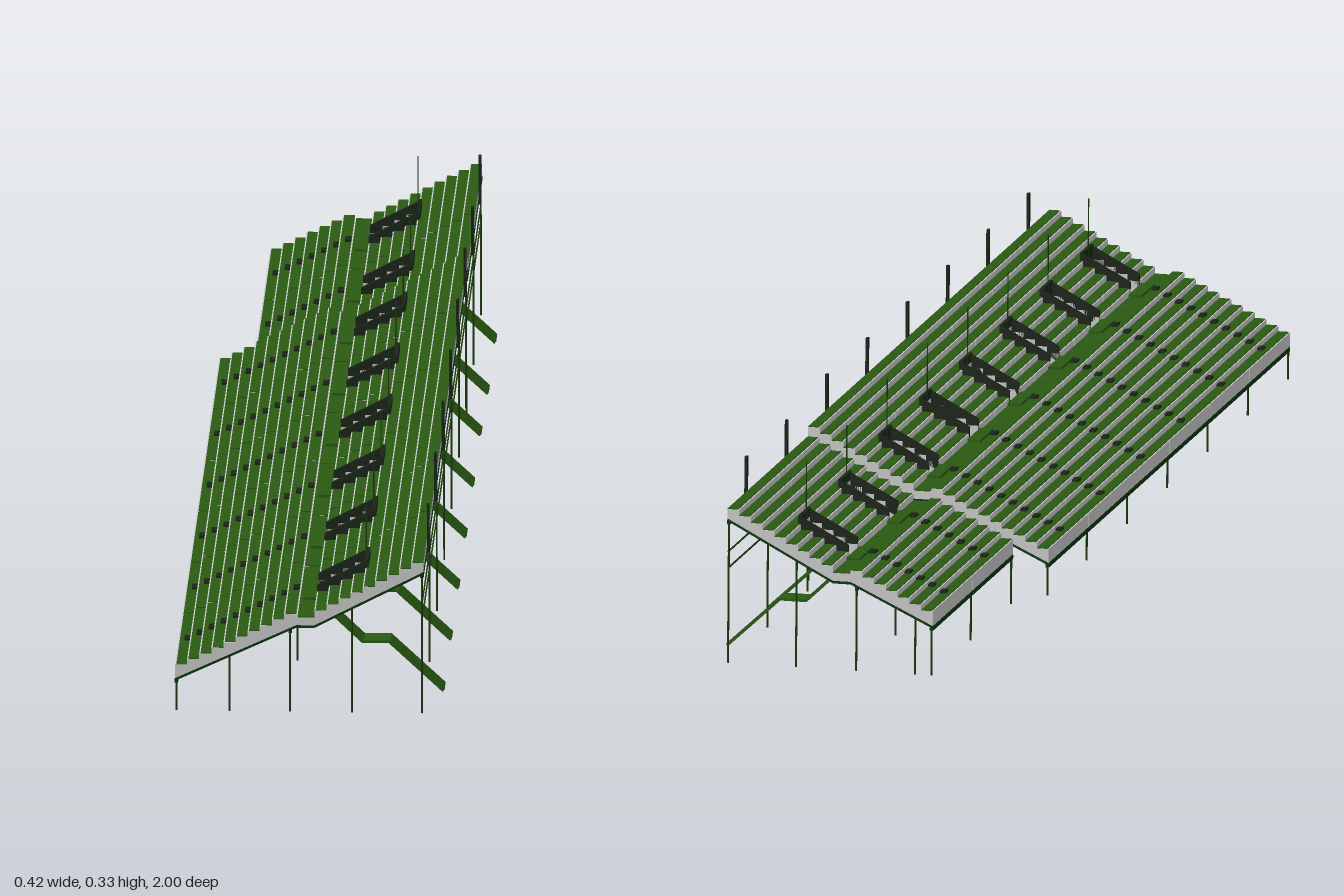
import * as THREE from 'three';
import { mergeGeometries } from 'three/addons/utils/BufferGeometryUtils.js';

const mat = (color) => new THREE.MeshStandardMaterial({ color, flatShading: true });
const GREY = mat(0xcccccc), TREAD = mat(0x2a5a12), UNDER = mat(0x0a3510), STEEL = mat(0x1c3a0c), DARK = mat(0x1b2418);

const SECTIONS = 8, PITCH = 0.2485, LENGTH = 0.2465;   // sections along z
const ROW = 0.018;                                     // tread depth
const HOLE = 0.05, HOLE_ROWS = 4;                      // entrance opening
const LOW_X = -0.195, WALK_X = -0.015, UP_X = 0.012, BACK_X = 0.174;

// Height of the underside below a given x
function soffit(x) {
  if (x < WALK_X) return 0.05 + (x - LOW_X) * 0.472;
  if (x < UP_X) return 0.135;
  return 0.135 + (x - UP_X) * 0.525;
}

// Outline in x/y extruded between two z values
function prism(points, z0, z1) {
  const shape = new THREE.Shape(points.map(([x, y]) => new THREE.Vector2(x, y)));
  return new THREE.ExtrudeGeometry(shape, { depth: z1 - z0, bevelEnabled: false }).translate(0, 0, z0);
}

function box(w, h, d, x, y, z) {
  return new THREE.BoxGeometry(w, h, d).translate(x, y, z);
}

function part(group, name, geometries, material) {
  const flat = geometries.map((g) => (g.index ? g.toNonIndexed() : g));
  const mesh = new THREE.Mesh(mergeGeometries(flat), material);
  mesh.name = name;
  group.add(mesh);
}

// All steps of one section: x, top height and the z spans they cover
function listRows(skip) {
  const h = LENGTH / 2, full = [[-h, h]], split = [[-h, -HOLE / 2], [HOLE / 2, h]];
  const rows = [];
  for (let i = skip; i < 10; i++) rows.push({ x0: LOW_X + i * ROW, x1: LOW_X + (i + 1) * ROW, y: 0.071 + i * 0.009, spans: full, lower: true });
  rows.push({ x0: WALK_X, x1: UP_X, y: 0.147, spans: full });
  for (let i = 0; i < 9; i++) rows.push({ x0: UP_X + i * ROW, x1: UP_X + (i + 1) * ROW, y: 0.158 + i * 0.0095, spans: i < HOLE_ROWS ? split : full });
  return rows;
}

function post(x, z, y0, y1, r = 0.0016) {
  return new THREE.CylinderGeometry(r, r, y1 - y0, 6).translate(x, (y0 + y1) / 2, z);
}

function createSection(index) {
  const section = new THREE.Group();
  section.name = `section${index + 1}`;
  const short = index >= 6, skip = short ? 3 : 0;
  const startX = LOW_X + skip * ROW;

  // Stepped deck, its treads and the lining underneath
  const body = [], treads = [], lining = [], aisle = [];
  for (const { x0, x1, y, spans, lower } of listRows(skip)) {
    const b0 = soffit(x0), b1 = soffit(x1 - 1e-6);
    for (const [z0, z1] of spans) {
      body.push(prism([[x0, b0], [x1, b1], [x1, y], [x0, y]], z0, z1));
      treads.push(box(x1 - x0 - 0.002, 0.0012, z1 - z0 - 0.002, (x0 + x1) / 2 + 0.001, y + 0.0006, (z0 + z1) / 2));
      lining.push(prism([[x0, b0 - 0.004], [x1, b1 - 0.004], [x1, b1], [x0, b0]], z0, z1));
    }
    // half steps of the aisle
    if (lower) aisle.push(box(ROW / 2, 0.0045, 0.018, x1 - ROW / 4, y + 0.00225, 0));
  }
  part(section, 'deck', body, GREY);
  part(section, 'treads', treads, TREAD);
  part(section, 'deckLining', lining, UNDER);
  part(section, 'aisleSteps', aisle, DARK);

  // Landing in front of the opening, and a low parapet on its other sides
  part(section, 'landing', [box(0.02, 0.005, 0.08, 0.002, 0.1495, 0)], TREAD);
  const endX = UP_X + HOLE_ROWS * ROW;
  const parapet = [-1, 1].map((s) => {
    const z = s * (HOLE / 2 + 0.003);
    return prism([[UP_X, 0.145], [endX, 0.183], [endX, 0.206], [UP_X, 0.168]], z - 0.003, z + 0.003);
  });
  parapet.push(box(0.005, 0.028, HOLE + 0.012, endX + 0.0025, 0.195, 0));
  part(section, 'openingParapet', parapet, DARK);

  // Access stair with a half landing, running down and out at the back
  const t = 0.005;
  const path = [[0.014, 0.14], [0.08, 0.077], [0.12, 0.077], [0.2, 0.002]];
  const under = path.map(([x, y]) => [x - 0.002, y - t + 0.003]).reverse();
  part(section, 'accessStair', [prism([...under, ...path.map(([x, y]) => [x + 0.001, y + 0.002])], -0.018, 0.018)], TREAD);

  // Uprights at the back edge and behind the opening
  part(section, 'backMast', [box(0.004, 0.075, 0.008, BACK_X + 0.002, 0.25, 0)], DARK);
  part(section, 'openingMast', [post(endX, 0, 0.18, 0.285, 0.001)], STEEL);

  // Supporting posts on the section joints, with extra ones at both ends
  const posts = [];
  const frame = (z, ends) => {
    const xs = [startX + 0.002, -0.024, 0.172];
    if (ends) xs.push(-0.114, 0.068);
    for (const x of xs) posts.push(post(x, z, 0, soffit(x)));
  };
  frame(LENGTH / 2 - 0.002, index === 0);
  if (index === 5 || index === SECTIONS - 1) frame(-LENGTH / 2 + 0.002, index === SECTIONS - 1);
  part(section, 'posts', posts, STEEL);

  // Horizontal bracing between the back posts, and beams under the deck edges
  part(section, 'backRails', [0.17, 0.145].map((y) => box(0.002, 0.002, PITCH, 0.172, y, 0)), STEEL);
  part(section, 'edgeBeams', [startX + 0.002, -0.024, 0.172].map((x) => box(0.005, 0.006, LENGTH, x, soffit(x) - 0.005, 0)), UNDER);

  section.position.set(0, short ? -0.015 : 0, PITCH * (3.5 - index));
  return section;
}

export function createModel() {
  const stand = new THREE.Group();
  stand.name = 'grandstand';
  for (let i = 0; i < SECTIONS; i++) stand.add(createSection(i));
  // The whole row climbs and drifts slightly towards the back
  stand.rotation.set(0.033, -0.015, 0);
  stand.position.set(0, 0.033, 0);

  const model = new THREE.Group();
  model.name = 'model';
  model.add(stand);
  return model;
}
